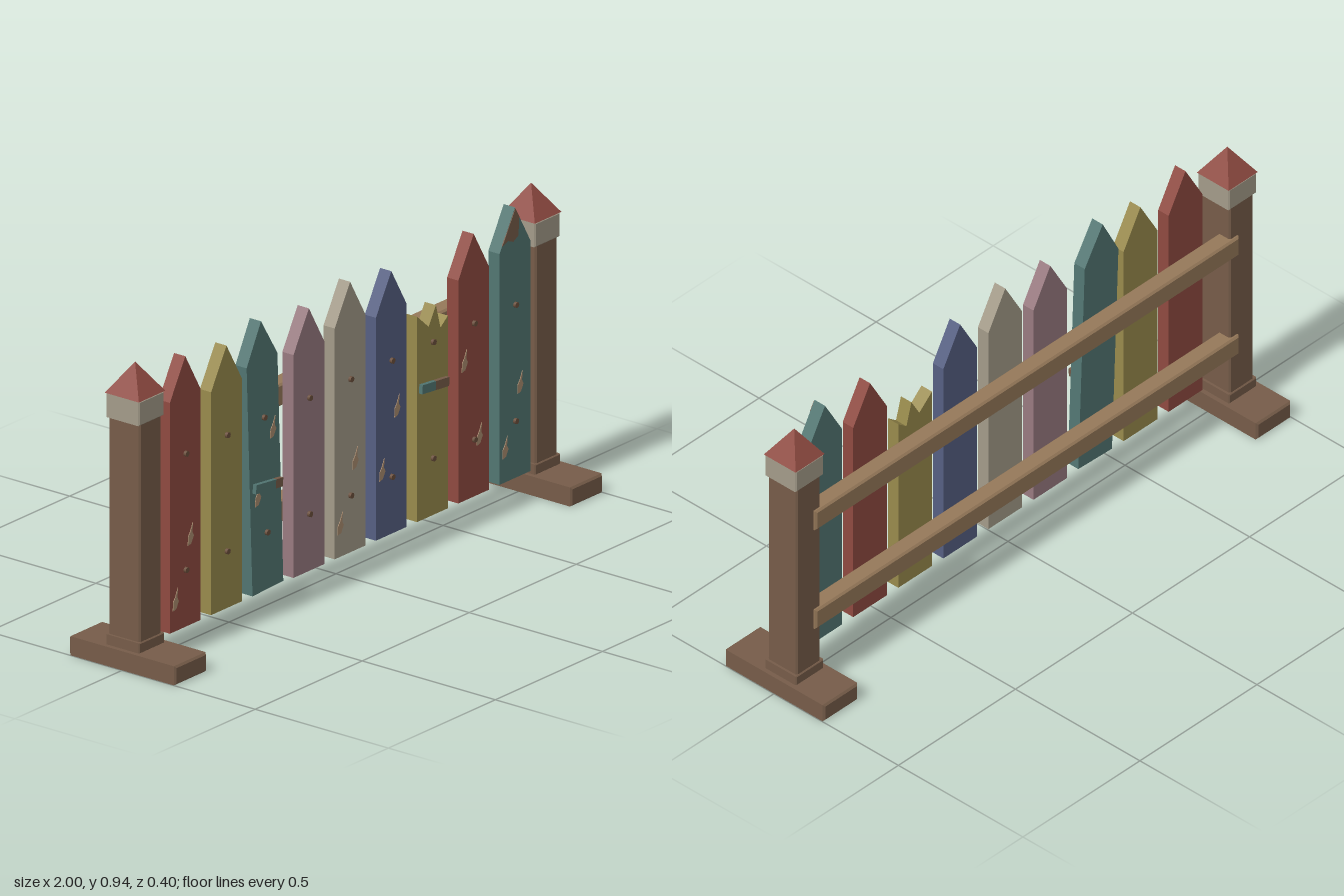
import * as THREE from 'three';

const mat = (name, color, side = THREE.FrontSide) => {
  const m = new THREE.MeshStandardMaterial({ color, side });
  m.name = name;
  return m;
};

export function createModel() {
  const M = {
    red: mat('faded red', 0x8f4a41),
    yellow: mat('mustard', 0x988a4c),
    teal: mat('teal', 0x527672),
    mauve: mat('mauve', 0x987a80),
    cream: mat('cream', 0xa39b89),
    blue: mat('slate blue', 0x565f82),
    post: mat('post wood', 0x765c49),
    rail: mat('rail wood', 0x957859),
    bare: mat('bare wood', 0xa98b6e),
    nail: mat('rusty nail', 0x6b4f3c),
  };
  const fence = new THREE.Group();
  fence.name = 'picketFence';

  const add = (parent, name, geometry, material, x = 0, y = 0, z = 0) => {
    const mesh = new THREE.Mesh(geometry, material);
    mesh.name = name;
    mesh.position.set(x, y, z);
    parent.add(mesh);
    return mesh;
  };
  const outline = (pts) => new THREE.Shape(pts.map(([x, y]) => new THREE.Vector2(x, y)));
  const slab = (pts, depth) => new THREE.ExtrudeGeometry(outline(pts), { depth, bevelEnabled: false });

  // Centred box with chamfered edges
  const chamferBox = (w, h, d, c = 0.006) => {
    const a = w / 2 - c, b = h / 2 - c;
    const g = new THREE.ExtrudeGeometry(outline([[-a, -b], [a, -b], [a, b], [-a, b]]), {
      depth: d - 2 * c, bevelEnabled: true, bevelSize: c, bevelThickness: c, bevelSegments: 1,
    });
    return g.translate(0, 0, -d / 2 + c);
  };

  // End posts: foot, plinth, shaft, collar and pyramid cap
  for (const side of [-1, 1]) {
    const post = new THREE.Group();
    post.name = side > 0 ? 'leftPost' : 'rightPost';
    post.position.x = side * 0.925;
    fence.add(post);
    const z = -0.011;
    add(post, 'foot', chamferBox(0.148, 0.06, 0.4), M.post, 0, 0.03, 0);
    add(post, 'plinth', chamferBox(0.118, 0.034, 0.126, 0.003), M.post, 0, 0.075, z);
    add(post, 'shaft', chamferBox(0.102, 0.7, 0.117, 0.005), M.post, 0, 0.43, z);
    add(post, 'collar', chamferBox(0.118, 0.077, 0.126, 0.004), M.cream, 0, 0.812, z);
    const cap = new THREE.ConeGeometry(Math.SQRT1_2, 0.095, 4, 1).rotateY(Math.PI / 4).toNonIndexed();
    cap.computeVertexNormals();
    cap.scale(0.124, 1, 0.128);
    cap.computeVertexNormals();
    add(post, 'cap', cap, M.red, 0, 0.8975, z);
  }

  // Horizontal rails behind the pickets
  for (const y of [0.26, 0.625]) add(fence, 'rail', chamferBox(1.81, 0.07, 0.058), M.rail, 0, y, -0.051);

  // Pickets with nails
  const BACK = 0.011, DEPTH = 0.042, FRONT = BACK + DEPTH, HALF = 0.072;
  const colours = ['red', 'yellow', 'teal', 'mauve', 'cream', 'blue', 'yellow', 'red', 'teal'];
  const pickets = colours.map((colour, i) => {
    const picket = new THREE.Group();
    picket.name = 'picket' + (i + 1);
    picket.position.x = (i - 4) * 0.1925;
    fence.add(picket);
    const top = i % 2 === 0 ? 0.93 : 0.905;
    const head = i === 6
      ? [[HALF, 0.685], [0.037, 0.658], [0.016, 0.735], [-0.018, 0.677], [-HALF, 0.725]]
      : [[HALF, top - 0.125], [0, top], [-HALF, top - 0.125]];
    add(picket, 'board', slab([[-HALF, 0.08], [HALF, 0.08], ...head], DEPTH), M[colour], 0, 0, BACK);
    for (const y of [0.26, 0.625]) {
      const nail = new THREE.CylinderGeometry(0.009, 0.009, 0.014, 8).rotateX(Math.PI / 2);
      add(picket, 'nail', nail, M.nail, 0, y, FRONT + 0.002);
    }
    return picket;
  });

  // The third picket leans
  pickets[2].rotation.z = 0.038;
  pickets[2].position.set(-0.381, 0.003, 0);

  // Paint flakes: [x, y] on the fence front
  const flake = [[-0.014, -0.034], [0.001, -0.03], [0.013, -0.008], [0.006, 0.004], [0.009, 0.034],
    [-0.003, 0.008], [-0.013, -0.006]];
  const flakes = [[-0.745, 0.365], [-0.815, 0.18], [-0.36, 0.585], [-0.43, 0.39], [-0.045, 0.185],
    [0.025, 0.37], [0.15, 0.295], [0.22, 0.475], [0.535, 0.52], [0.605, 0.27], [0.725, 0.19], [0.795, 0.375]];
  for (const [x, y] of flakes) add(fence, 'paintFlake', slab(flake, 0.003), M.bare, x, y, FRONT - 0.001);

  // Worn patch at the tip of the last picket
  const worn = [[-0.06, 0.825], [-0.035, 0.835], [-0.01, 0.825], [0.014, 0.838], [0.018, 0.897], [0, 0.927], [-0.06, 0.827]];
  add(pickets[8], 'wornTip', slab(worn, 0.003), M.post, 0, 0, FRONT - 0.001);

  // Slanted repair strips, part painted and part bare
  const strips = [
    { x: -0.392, y: 0.411, split: 0.03, tilt: -0.1 },
    { x: 0.385, y: 0.49, split: 0, tilt: -0.09 },
  ];
  for (const { x, y, split, tilt } of strips) {
    const strip = new THREE.Group();
    strip.name = 'repairStrip';
    strip.position.set(x, y, FRONT + 0.006);
    strip.rotation.z = tilt;
    fence.add(strip);
    const l = -0.063, r = 0.063;
    add(strip, 'paintedHalf', new THREE.BoxGeometry(split - l, 0.028, 0.014), M.teal, (split + l) / 2);
    add(strip, 'bareHalf', new THREE.BoxGeometry(r - split, 0.028, 0.014), M.post, (split + r) / 2);
  }
  return fence;
}
